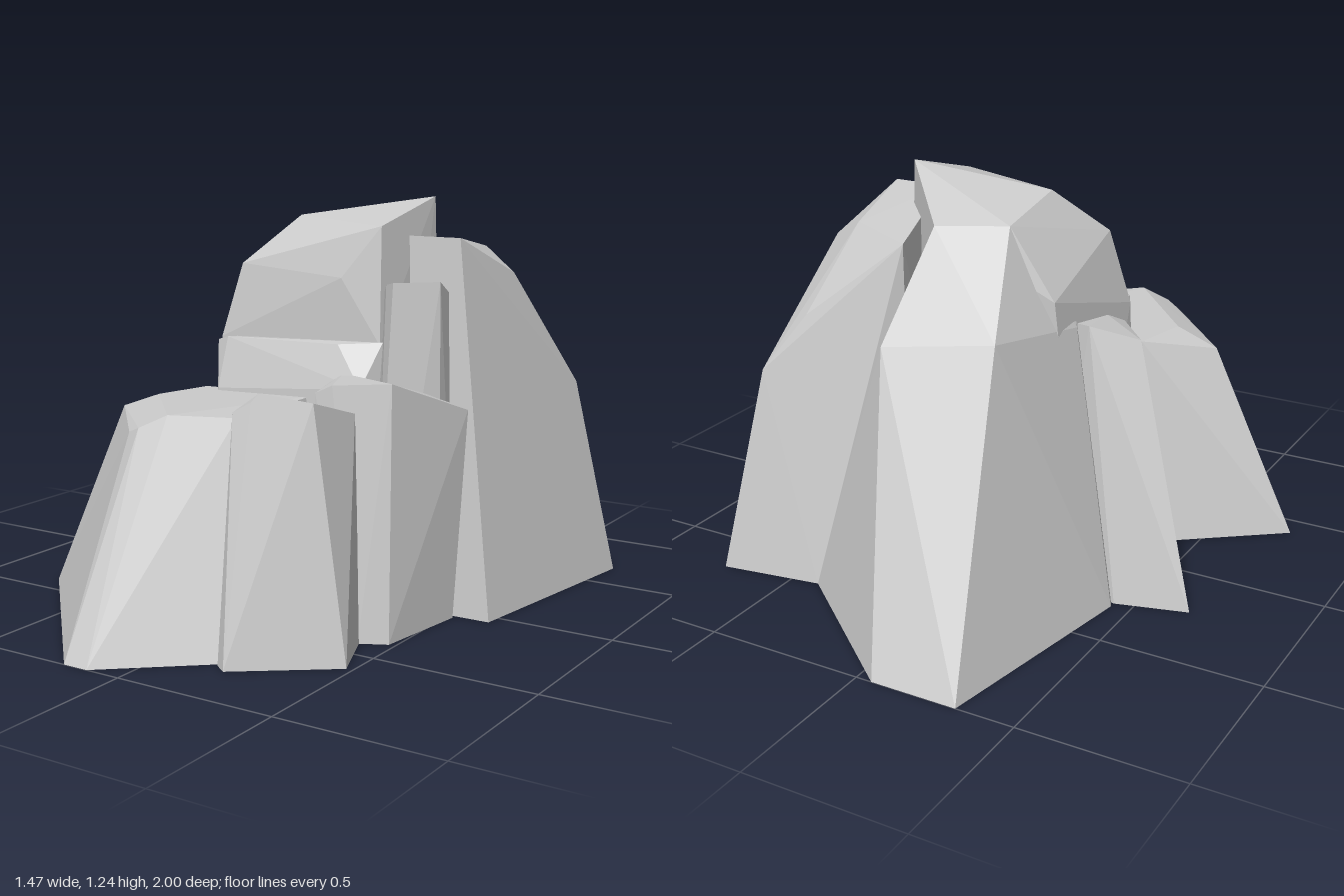
import * as THREE from 'three';
import { ConvexGeometry } from 'three/addons/geometries/ConvexGeometry.js';

const material = new THREE.MeshStandardMaterial({ color: 0xcccccc, flatShading: true });

// One faceted boulder: footprint corners [x, z] on the ground plus upper corners [x, y, z]
function rock(name, footprint, corners) {
  const points = [
    ...footprint.map(([x, z]) => new THREE.Vector3(x, 0, z)),
    ...corners.map((c) => new THREE.Vector3(...c)),
  ];
  const mesh = new THREE.Mesh(new ConvexGeometry(points), material);
  mesh.name = name;
  return mesh;
}

export function createModel() {
  const group = new THREE.Group();
  group.name = 'rockOutcrop';

  group.add(
    // Sloping ridge at the back
    rock('backRidge',
      [[-0.32, -1], [-0.05, -1], [0.41, -0.62], [0.3, 0], [-0.3, 0], [-0.44, -0.31]],
      [[-0.2, 0.87, -0.57], [0.13, 0.83, -0.64], [0.11, 1.12, -0.38], [-0.1, 1.13, -0.31],
        [-0.26, 0.82, -0.2], [-0.1, 1.13, 0], [0.1, 1.13, 0]]),

    // Summit block
    rock('summit',
      [[-0.32, -0.25], [-0.3, 0.14], [0.34, 0.16], [0.34, -0.2]],
      [[-0.1, 1.13, -0.31], [0.11, 1.12, -0.38], [0.33, 1.24, -0.14], [0.3, 1.165, 0.13],
        [-0.09, 1.175, -0.04], [-0.21, 1.03, 0.11], [0.18, 1.01, 0.16], [-0.27, 0.8, 0.14],
        [0.32, 0.82, 0.17], [-0.24, 0.92, -0.3]]),

    // Tall rock on the left of the back
    rock('tallSideRock',
      [[0.41, -0.62], [0.73, -0.67], [0.63, 0.05], [0.3, 0.06], [0.2, -0.4]],
      [[0.32, 1.13, 0], [0.49, 1.13, 0], [0.54, 1.01, -0.26], [0.63, 0.64, -0.55],
        [0.41, 1.08, -0.33], [0.2, 1.06, -0.41], [0.5, 0.82, -0.49]]),

    // Spur on the other side
    rock('sideSpur',
      [[-0.66, -0.23], [-0.42, 0.17], [-0.2, 0.15], [-0.2, -0.24], [-0.44, -0.29]],
      [[-0.43, 0.785, -0.12], [-0.3, 0.83, -0.2], [-0.24, 0.825, -0.18],
        [-0.26, 0.8, 0], [-0.28, 0.76, 0.08]]),

    // Ledge below the summit
    rock('ledge',
      [[-0.24, 0.1], [-0.2, 0.29], [0.33, 0.28], [0.36, 0.1]],
      [[-0.24, 0.8, 0.2], [-0.19, 0.815, 0.22], [0.2, 0.82, 0.21], [0.33, 0.83, 0.17],
        [-0.22, 0.8, 0.1], [0.33, 0.82, 0.08], [-0.2, 0.66, 0.26], [0.3, 0.7, 0.25]]),

    // Stepped pillars
    rock('upperPillar',
      [[0.3, 0.14], [0.35, 0], [0.49, 0], [0.5, 0.12], [0.4, 0.26], [0.35, 0.25]],
      [[0.31, 0.97, 0.13], [0.35, 0.99, 0.04], [0.46, 0.97, 0.01], [0.48, 1.01, 0.1],
        [0.38, 1.01, 0.2], [0.34, 1, 0.17]]),
    rock('middlePillar',
      [[0.15, 0.2], [0.26, 0.42], [0.4, 0.42], [0.48, 0.38], [0.52, 0.07], [0.3, 0.05]],
      [[0.18, 0.71, 0.21], [0.22, 0.735, 0.21], [0.46, 0.69, 0.15], [0.46, 0.745, 0.34],
        [0.3, 0.735, 0.4], [0.25, 0.71, 0.41], [0.54, 0.63, 0.03], [0.45, 0.65, 0.02]]),
    rock('frontPillar',
      [[0.06, 0.5], [0.17, 0.78], [0.21, 0.81], [0.48, 0.61], [0.4, 0.41], [0.1, 0.38]],
      [[0.05, 0.67, 0.45], [0.1, 0.68, 0.41], [0.25, 0.66, 0.38], [0.37, 0.66, 0.39],
        [0.36, 0.72, 0.59], [0.21, 0.72, 0.67], [0.16, 0.69, 0.685], [0.12, 0.71, 0.5]]),

    // Broad block at the front
    rock('frontBlock',
      [[-0.11, 1], [-0.19, 1], [-0.74, 0.41], [-0.42, 0.17], [0.1, 0.15], [0.19, 0.75]],
      [[-0.46, 0.6, 0.395], [-0.32, 0.65, 0.4], [-0.19, 0.6, 0.7], [-0.14, 0.62, 0.72],
        [-0.06, 0.66, 0.69], [0.1, 0.65, 0.58], [-0.28, 0.65, 0.21], [0.12, 0.66, 0.22]]),
  );
  return group;
}
